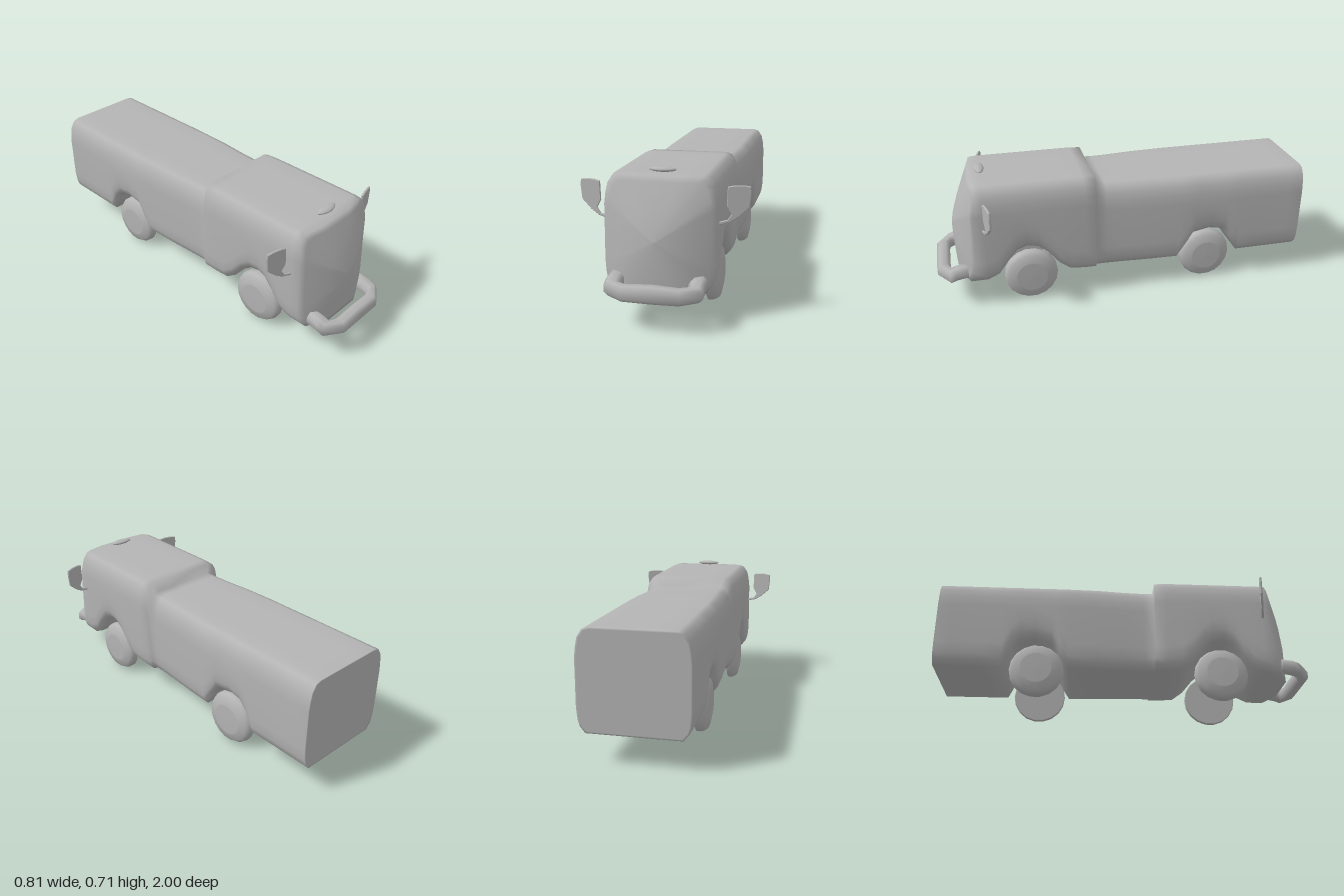
import * as THREE from 'three';

const paint = new THREE.MeshStandardMaterial({ color: 0xb4b4b4 });
paint.name = 'plain grey';

// Smooth skin through a list of rings, each an array of [x, y, z]
function loft(rings) {
  const n = rings[0].length, index = [];
  for (let i = 0; i < rings.length - 1; i++) {
    for (let j = 0; j < n; j++) {
      const k = (j + 1) % n, a = i * n + j, b = i * n + k;
      index.push(a, b, b + n, a, b + n, a + n);
    }
  }
  const g = new THREE.BufferGeometry();
  g.setAttribute('position', new THREE.Float32BufferAttribute(rings.flat(2), 3));
  g.setIndex(index);
  g.computeVertexNormals();
  return g;
}

function add(parent, name, geometry) {
  const m = new THREE.Mesh(geometry, paint);
  m.name = name;
  parent.add(m);
  return m;
}

// Rounded-rectangle body section, counterclockwise seen from the front
function section(w, yb, yt) {
  const half = [
    [w * 0.4, yb], [w - 0.04, yb], [w - 0.015, yb + 0.03], [w - 0.006, yb + 0.06],
    [w, yb + 0.12], [w, yt - 0.14], [w - 0.005, yt - 0.09], [w - 0.014, yt - 0.045],
    [w - 0.036, yt - 0.01], [w - 0.065, yt], [w * 0.4, yt],
  ];
  return [...half, ...half.map(([x, y]) => [-x, y]).reverse()];
}

// Bowed, raked nose surface
function noseZ(x, y) {
  const t = Math.max(0, (y - 0.4) / 0.28);
  return 0.9 - 0.1 * t ** 1.3 - 0.1 * (Math.abs(x) / 0.265) ** 2 * (1 - 0.65 * t);
}

function bodyGeometry() {
  // z, half width, underside height, roof height
  const stations = [
    [-1, 0.262, 0.15, 0.63], [-0.92, 0.262, 0.15, 0.63], [-0.75, 0.262, 0.15, 0.63],
    [-0.65, 0.262, 0.15, 0.63], [-0.605, 0.262, 0.245, 0.63], [-0.56, 0.262, 0.295, 0.63],
    [-0.48, 0.262, 0.31, 0.63], [-0.39, 0.262, 0.292, 0.63], [-0.35, 0.262, 0.225, 0.63],
    [-0.3, 0.261, 0.15, 0.63], [-0.15, 0.256, 0.15, 0.63], [0, 0.246, 0.15, 0.628],
    [0.1, 0.241, 0.15, 0.628], [0.152, 0.242, 0.15, 0.63], [0.16, 0.262, 0.15, 0.68],
    [0.22, 0.264, 0.152, 0.683], [0.3, 0.265, 0.16, 0.683], [0.36, 0.265, 0.205, 0.683],
    [0.42, 0.265, 0.28, 0.683], [0.47, 0.265, 0.32, 0.683], [0.53, 0.265, 0.33, 0.683],
    [0.58, 0.265, 0.31, 0.683], [0.63, 0.265, 0.25, 0.683], [0.68, 0.265, 0.18, 0.683],
    [0.74, 0.265, 0.152, 0.683],
  ];
  const rings = stations.map(([z, w, yb, yt]) => section(w, yb, yt).map(([x, y]) => [x, y, z]));
  const shrink = (ring, s, zOf) => ring.map(([x, y]) => {
    const px = x * s, py = 0.4 + (y - 0.4) * s;
    return [px, py, zOf(px, py)];
  });
  // Flat tail and curved nose
  const tail = [0, 0.97].map(s => shrink(rings[0], s, () => -1));
  const front = section(0.262, 0.15, 0.68);
  const nose = [1, 0.9, 0.7, 0.45, 0.2, 0].map(s => shrink(front, s, noseZ));
  return loft([...tail, ...rings, ...nose]);
}

// U-shaped bar: inner x/z, outer x/z, bottom and top at each station
function bumperGeometry() {
  const half = [
    [0.155, 0.84, 0.23, 0.84, 0.17, 0.237], [0.155, 0.895, 0.23, 0.9, 0.16, 0.23],
    [0.155, 0.925, 0.228, 0.935, 0.147, 0.218], [0.12, 0.932, 0.135, 1, 0.145, 0.217],
    [0, 0.932, 0, 1, 0.143, 0.223],
  ];
  const mirrored = half.slice(0, -1).reverse().map(([a, b, c, d, e, f]) => [-a, b, -c, d, e, f]);
  const shape = [[1, 0.25], [1, 0.75], [0.75, 1], [0.25, 1], [0, 0.75], [0, 0.25], [0.25, 0], [0.75, 0]];
  const rings = [...half, ...mirrored].map(([ix, iz, ox, oz, yb, yt]) =>
    shape.map(([u, v]) => [ix + (ox - ix) * u, yb + (yt - yb) * v, iz + (oz - iz) * u]));
  const tip = ring => {
    const c = [0, 1, 2].map(k => ring.reduce((s, p) => s + p[k], 0) / ring.length);
    return ring.map(() => c);
  };
  return loft([tip(rings[0]), ...rings, tip(rings[rings.length - 1])]);
}

// Leaf-shaped mirror plate with its stalk, swept back towards the tip
function mirrorGeometry(side) {
  const outline = [
    [0.255, 0.452], [0.31, 0.465], [0.35, 0.49], [0.398, 0.535], [0.405, 0.6], [0.402, 0.63],
    [0.37, 0.636], [0.33, 0.636], [0.3, 0.63], [0.297, 0.54], [0.318, 0.502], [0.3, 0.477], [0.255, 0.466],
  ].map(([x, y]) => new THREE.Vector2(x * side, y));
  const g = new THREE.ExtrudeGeometry(new THREE.Shape(outline), {
    depth: 0.004, bevelEnabled: true, bevelThickness: 0.004, bevelSize: 0.003, bevelOffset: -0.003, bevelSegments: 1,
  });
  const p = g.attributes.position;
  for (let i = 0; i < p.count; i++) {
    p.setZ(i, p.getZ(i) + 0.742 - 0.24 * (Math.abs(p.getX(i)) - 0.265));
  }
  g.computeVertexNormals();
  return g;
}

// Disc wheel with a rounded outer shoulder
function wheelGeometry() {
  const profile = [
    [0, 0.183], [0.138, 0.183], [0.143, 0.1835], [0.142, 0.205], [0.138, 0.215],
    [0.125, 0.233], [0.085, 0.243], [0.08, 0.2435], [0, 0.245],
  ];
  return new THREE.LatheGeometry(profile.map(([r, y]) => new THREE.Vector2(r, y)), 18);
}

export function createModel() {
  const model = new THREE.Group();
  model.name = 'truck';
  add(model, 'body', bodyGeometry());
  add(model, 'frontBumper', bumperGeometry());

  // Roof light: flattened dome, narrowing to the front
  const light = new THREE.SphereGeometry(1, 20, 10);
  const p = light.attributes.position;
  for (let i = 0; i < p.count; i++) {
    const z = p.getZ(i);
    p.setXYZ(i, p.getX(i) * 0.065 * (z < 0 ? 1 : 1 - 0.25 * z), p.getY(i) * 0.012, z * 0.026);
  }
  light.computeVertexNormals();
  add(model, 'roofLight', light).position.set(0, 0.697, 0.733);

  for (const side of [1, -1]) {
    const name = side > 0 ? 'left' : 'right';
    add(model, name + 'Mirror', mirrorGeometry(side));
    for (const [end, z] of [['Front', 0.51], ['Rear', -0.467]]) {
      const wheel = add(model, name + end + 'Wheel', wheelGeometry());
      wheel.rotation.z = -side * Math.PI / 2;
      wheel.position.set(0, 0.143, z);
    }
  }
  return model;
}
